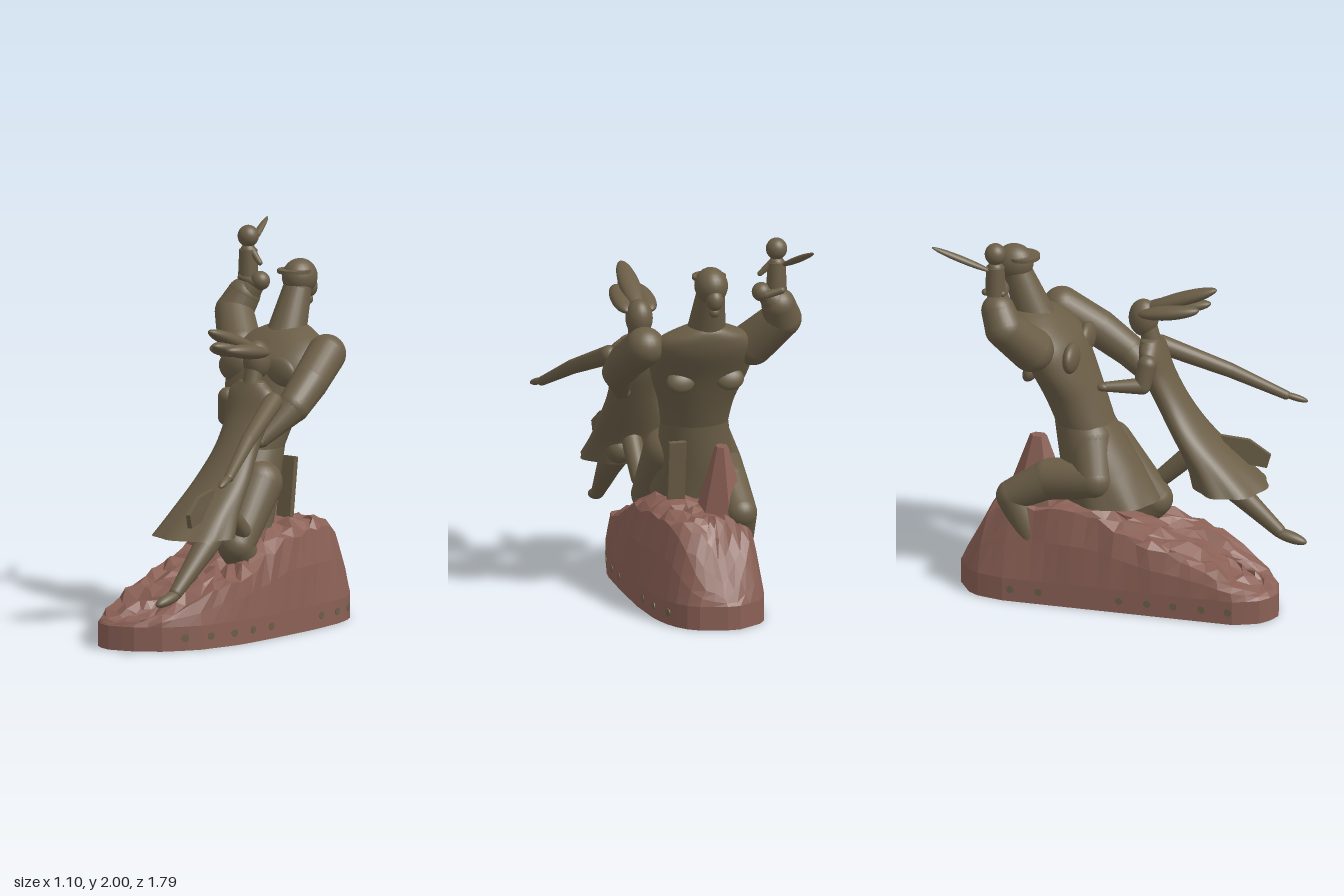
import * as THREE from 'three';

const bronze = new THREE.MeshStandardMaterial({ color: 0x6b5e47, side: THREE.DoubleSide });
bronze.name = 'bronze';
const rock = new THREE.MeshStandardMaterial({ color: 0x8a6055, side: THREE.DoubleSide, flatShading: true });
rock.name = 'red rock';

const V = (p) => new THREE.Vector3(...p);
const UP = new THREE.Vector3(0, 1, 0);

let seed = 7;
const rnd = () => {
  seed = (seed * 16807) % 2147483647;
  return seed / 2147483647 - 0.5;
};

function add(parent, name, geo, mat = bronze) {
  const m = new THREE.Mesh(geo, mat);
  m.name = name;
  parent.add(m);
  return m;
}

function ball(parent, name, p, rx, ry = rx, rz = rx) {
  const m = add(parent, name, new THREE.SphereGeometry(1, 24, 16));
  m.scale.set(rx, ry, rz);
  m.position.set(...p);
  return m;
}

// Chain of tapered segments with round joints; joints are [x, y, z, radius]
function limb(parent, name, joints) {
  const g = new THREE.Group();
  g.name = name;
  joints.forEach((j, i) => {
    ball(g, name + 'Joint', j.slice(0, 3), j[3]);
    if (!i) return;
    const k = joints[i - 1];
    const a = V(k.slice(0, 3)), b = V(j.slice(0, 3)), d = b.clone().sub(a);
    const m = add(g, name + 'Segment', new THREE.CylinderGeometry(j[3], k[3], d.length(), 24, 1, true));
    m.position.copy(a).add(b).multiplyScalar(0.5);
    m.quaternion.setFromUnitVectors(UP, d.normalize());
  });
  parent.add(g);
}

// Long flattened ellipsoid from a to b
function leaf(parent, name, a, b, w, t) {
  const A = V(a), d = V(b).sub(A);
  const m = ball(parent, name, [0, 0, 0], w, d.length() / 2, t);
  m.position.copy(A).addScaledVector(d, 0.5);
  m.quaternion.setFromUnitVectors(UP, d.normalize());
}

// Joins rings of n points into a surface
function skin(rings) {
  const n = rings[0].length, idx = [];
  for (let i = 0; i < rings.length - 1; i++) for (let j = 0; j < n; j++) {
    const a = i * n + j, b = i * n + (j + 1) % n;
    idx.push(a, b, b + n, a, b + n, a + n);
  }
  const g = new THREE.BufferGeometry();
  g.setAttribute('position', new THREE.Float32BufferAttribute(rings.flat(2), 3));
  g.setIndex(idx);
  g.computeVertexNormals();
  return g;
}

// Smooth loft through horizontal ellipses [y, cx, cz, rx, rz]; folds ripple the hem
function loft(sections, folds = 0) {
  const mid = new THREE.CatmullRomCurve3(sections.map((s) => V([s[1], s[0], s[2]])), false, 'catmullrom', 0.5);
  const rad = new THREE.CatmullRomCurve3(sections.map((s) => V([s[3], s[4], 0])), false, 'catmullrom', 0.5);
  const rings = [], N = 30, M = 48;
  for (let i = 0; i <= N; i++) {
    const c = mid.getPoint(i / N), r = rad.getPoint(i / N);
    const f = folds * Math.max(0, 1 - i / N * 2.5);
    rings.push(Array.from({ length: M }, (_, j) => {
      const a = j / M * Math.PI * 2, k = 1 + f * Math.cos(a * 7);
      return [c.x + r.x * k * Math.sin(a), c.y, c.z + r.y * k * Math.cos(a)];
    }));
  }
  return skin(rings);
}

function makeBase(root) {
  const g = new THREE.Group();
  g.name = 'rockBase';
  root.add(g);
  const outline = [[-0.16, 0.85], [-0.03, 0.82], [0.1, 0.73], [0.21, 0.57], [0.27, 0.3], [0.27, 0], [0.26, -0.3], [0.23, -0.55],
    [0.18, -0.7], [0.09, -0.81], [-0.13, -0.86], [-0.3, -0.75], [-0.34, -0.58], [-0.34, -0.1], [-0.34, 0.3], [-0.34, 0.67], [-0.27, 0.81]];
  const path = new THREE.CurvePath();
  outline.forEach((p, i) => {
    const q = outline[(i + 1) % outline.length];
    path.add(new THREE.LineCurve3(V([p[0], 0, p[1]]), V([q[0], 0, q[1]])));
  });
  const pts = path.getSpacedPoints(56).slice(0, 56);
  const prof = [[-0.86, 0.125], [-0.8, 0.22], [-0.68, 0.46], [-0.61, 0.53], [-0.3, 0.55], [-0.1, 0.54],
    [0, 0.47], [0.2, 0.38], [0.4, 0.32], [0.6, 0.23], [0.86, 0.125]];
  const height = (z) => {
    const i = Math.max(1, prof.findIndex((p) => p[0] >= z));
    const [a, b] = [prof[i - 1], prof[i]];
    return a[1] + (b[1] - a[1]) * (z - a[0]) / (b[0] - a[0]);
  };
  // Rings shrink towards a spine along z: [scale of x, share of full height, jitter, extra taper at the back]
  const steps = [[1, 0, 0, 0], [1, 0, 0, 0], [0.97, 0.5, 0.01, 0.1], [0.9, 0.9, 0.04, 0.22], [0.74, 0.98, 0.06, 0.22],
    [0.55, 1, 0.06, 0.2], [0.36, 1, 0.06, 0.1], [0.18, 1, 0.05, 0], [0, 1, 0, 0]];
  const rings = steps.map(([s, f, n, taper], i) => pts.map((p) => {
    const k = p.z < -0.6 ? n * 0.4 : n;
    const sx = s * (1 - taper * THREE.MathUtils.smoothstep(-p.z, 0.2, 0.65));
    const x = -0.05 + (p.x + 0.05) * sx + rnd() * k * 0.8, z = p.z * (0.7 + 0.3 * s) + rnd() * k;
    const y = i === 0 ? 0 : 0.125 + (height(z) - 0.125) * f + (i > 2 ? rnd() * k : 0);
    return [x, y, z];
  }));
  add(g, 'rock', skin(rings).toNonIndexed(), rock);

  const crag = add(g, 'crag', new THREE.CylinderGeometry(0.045, 0.2, 0.42, 6), rock);
  crag.scale.x = 0.75;
  crag.position.set(-0.155, 0.655, -0.43);

  // Round studs along both long walls: [z, x, turn of the wall]
  for (const [z, x, turn] of [[0.63, 0.169, 0.6], [0.49, 0.228, 0.22], [0.34, 0.261, 0.22], [0.2, 0.27, 0], [0.05, 0.27, 0],
    [-0.38, 0.25, -0.12], [-0.53, 0.232, -0.12], [-0.67, 0.19, -0.32]]) {
    for (const side of [1, -1]) {
      if (side < 0 && z < -0.55) continue;
      const s = add(g, 'stud', new THREE.CylinderGeometry(0.02, 0.02, 0.006, 16));
      s.rotation.set(0, side > 0 ? -turn : 0, Math.PI / 2, 'YXZ');
      s.position.set(side > 0 ? x : -0.339, 0.065, z);
    }
  }
}

function makeMan(root) {
  const g = new THREE.Group();
  g.name = 'man';
  root.add(g);
  add(g, 'coat', loft([[0.545, -0.09, -0.05, 0.225, 0.24], [0.75, -0.08, -0.13, 0.2, 0.2], [0.95, -0.065, -0.21, 0.175, 0.152]], 0.03));
  add(g, 'torso', loft([[0.93, -0.065, -0.2, 0.173, 0.15], [1.08, -0.06, -0.26, 0.2, 0.155], [1.24, -0.06, -0.33, 0.255, 0.16],
    [1.38, -0.06, -0.4, 0.275, 0.17], [1.46, -0.06, -0.45, 0.24, 0.145], [1.51, -0.06, -0.48, 0.155, 0.115], [1.54, -0.06, -0.5, 0.08, 0.08]]));
  for (const s of [-1, 1]) {
    ball(g, 'chestMuscle', [-0.06 + s * 0.15, 1.33, -0.24], 0.1, 0.08, 0.04);
    ball(g, 'shoulderBlade', [-0.06 + s * 0.13, 1.23, -0.46], 0.075, 0.06, 0.038).rotation.x = 0.4;
  }
  // Coat tail
  const tail = add(g, 'coatTail', new THREE.BoxGeometry(0.09, 0.32, 0.03));
  tail.position.set(0.06, 0.72, -0.335);
  tail.rotation.x = -0.12;
  // Neck and head
  limb(g, 'neck', [[-0.06, 1.47, -0.47, 0.105], [-0.06, 1.71, -0.565, 0.075]]);
  ball(g, 'head', [-0.06, 1.77, -0.585], 0.086, 0.095, 0.1);
  const brim = add(g, 'capBrim', new THREE.CylinderGeometry(0.088, 0.088, 0.018, 28));
  brim.position.set(-0.06, 1.805, -0.54);
  ball(g, 'hairKnot', [-0.06, 1.71, -0.66], 0.045, 0.055, 0.045);
  ball(g, 'collarKnot', [-0.06, 1.645, -0.65], 0.028);
  // Arms
  limb(g, 'raisedArm', [[-0.32, 1.4, -0.42, 0.115], [-0.45, 1.555, -0.53, 0.1], [-0.42, 1.64, -0.57, 0.088], [-0.35, 1.705, -0.59, 0.048]]);
  ball(g, 'raisedHand', [-0.325, 1.72, -0.59], 0.05);
  for (let i = 0; i < 3; i++) limb(g, 'finger', [[-0.34, 1.71, -0.56 - i * 0.03, 0.022], [-0.42, 1.735, -0.55 - i * 0.045, 0.018]]);
  limb(g, 'holdingArm', [[0.25, 1.42, -0.42, 0.102], [0.292, 1.3, -0.23, 0.097], [0.305, 1.195, -0.085, 0.085], [0.245, 1.04, 0.1, 0.042]]);
  ball(g, 'holdingHand', [0.235, 1.03, 0.12], 0.045, 0.035, 0.05);
  // Legs, with the shins sunk into the hollow rock
  limb(g, 'rearLeg', [[-0.14, 0.86, -0.16, 0.12], [-0.24, 0.68, -0.11, 0.1], [-0.2, 0.645, -0.36, 0.11],
    [-0.225, 0.54, -0.55, 0.085], [-0.25, 0.2, -0.37, 0.065]]);
  limb(g, 'forwardLeg', [[0.06, 0.77, -0.11, 0.12], [0.09, 0.475, 0.12, 0.095], [0.07, 0.12, -0.18, 0.065]]);
}

function makeChild(root) {
  const g = new THREE.Group();
  g.name = 'child';
  root.add(g);
  const body = add(g, 'childBody', new THREE.CylinderGeometry(0.047, 0.053, 0.15, 24));
  body.position.set(-0.405, 1.8, -0.59);
  limb(g, 'childNeck', [[-0.405, 1.865, -0.59, 0.042], [-0.405, 1.92, -0.59, 0.02]]);
  ball(g, 'childHead', [-0.405, 1.945, -0.59], 0.055, 0.057, 0.055);
  limb(g, 'childArm', [[-0.38, 1.87, -0.59, 0.02], [-0.32, 1.815, -0.58, 0.014]]);
  leaf(g, 'childRaisedArm', [-0.43, 1.855, -0.6], [-0.525, 1.995, -0.895], 0.022, 0.016);
}

function makeWoman(root) {
  const g = new THREE.Group();
  g.name = 'woman';
  root.add(g);
  add(g, 'dress', loft([[0.58, 0.135, 0.515, 0.222, 0.19], [0.7, 0.14, 0.425, 0.19, 0.14], [0.85, 0.15, 0.3, 0.16, 0.1],
    [1, 0.16, 0.2, 0.13, 0.085], [1.15, 0.165, 0.12, 0.13, 0.08], [1.27, 0.165, 0.09, 0.142, 0.065], [1.33, 0.165, 0.08, 0.08, 0.05]], 0.04));
  ball(g, 'neckline', [0.165, 1.325, 0.08], 0.085, 0.02, 0.052);
  // Loose fold of the dress
  const fold = new THREE.Shape([[0.71, 0.72], [0.6, 0.8], [0.45, 0.82], [0.52, 0.68], [0.69, 0.65]].map(([z, y]) => new THREE.Vector2(-z, y)));
  const flap = add(g, 'dressFold', new THREE.ExtrudeGeometry(fold, { depth: 0.025, bevelEnabled: false }));
  flap.rotation.y = Math.PI / 2 + 0.17;
  flap.position.set(0.11, 0, 0);
  // Neck, head and flying hair
  limb(g, 'womanNeck', [[0.165, 1.3, 0.085, 0.052], [0.165, 1.42, 0.06, 0.045]]);
  ball(g, 'womanHead', [0.165, 1.44, 0.04], 0.07, 0.1, 0.078);
  for (const [x, y, z] of [[0.165, 1.635, 0.43], [0.115, 1.53, 0.35], [0.215, 1.53, 0.35], [0.165, 1.555, 0.4]]) {
    leaf(g, 'hairStrand', [0.165 + (x - 0.165) * 1.35, 1.48, 0.03], [x, y, z], 0.055, 0.038);
  }
  // Arms
  limb(g, 'flungArm', [[0.31, 1.24, 0.09, 0.05], [0.42, 1.09, 0.43, 0.038], [0.515, 0.945, 0.7, 0.024]]);
  leaf(g, 'flungHand', [0.51, 0.955, 0.68], [0.545, 0.91, 0.81], 0.022, 0.018);
  limb(g, 'claspingArm', [[0.02, 1.24, 0.1, 0.05], [-0.005, 1.13, 0.08, 0.044], [-0.075, 1.135, -0.09, 0.026]]);
  ball(g, 'claspingHand', [-0.085, 1.135, -0.11], 0.025, 0.022, 0.035);
  // Legs
  limb(g, 'trailingLeg', [[0.19, 0.66, 0.35, 0.075], [0.205, 0.52, 0.52, 0.062], [0.205, 0.32, 0.75, 0.035]]);
  leaf(g, 'trailingFoot', [0.205, 0.32, 0.71], [0.2, 0.27, 0.9], 0.036, 0.03);
  limb(g, 'bentLeg', [[0.14, 0.74, 0.32, 0.055], [0.14, 0.56, 0.13, 0.045]]);
}

export function createModel() {
  const root = new THREE.Group();
  root.name = 'monument';
  seed = 7;
  makeBase(root);
  makeMan(root);
  makeChild(root);
  makeWoman(root);
  return root;
}
